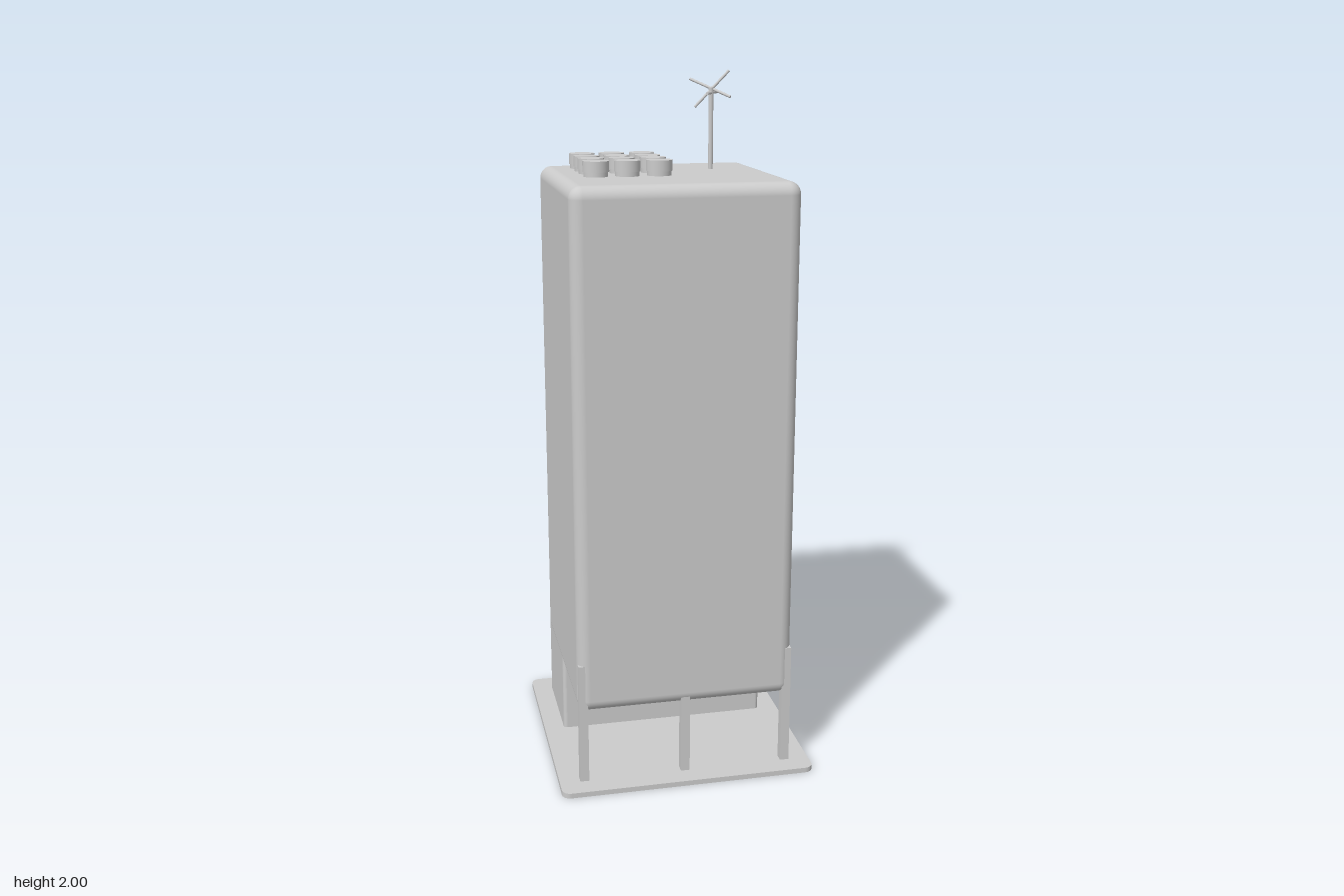
import * as THREE from 'three';
import { RoundedBoxGeometry } from 'three/addons/geometries/RoundedBoxGeometry.js';

const material = new THREE.MeshStandardMaterial({ color: 0xcccccc });

function add(parent, name, geometry, x = 0, y = 0, z = 0) {
  const mesh = new THREE.Mesh(geometry, material);
  mesh.name = name;
  mesh.position.set(x, y, z);
  parent.add(mesh);
  return mesh;
}

// Upright slab with rounded vertical corners, standing on y = 0
function roundedSlab(w, d, h, r) {
  const a = w / 2, b = d / 2;
  const s = new THREE.Shape();
  s.moveTo(-a + r, -b);
  s.lineTo(a - r, -b);
  s.absarc(a - r, -b + r, r, -Math.PI / 2, 0);
  s.absarc(a - r, b - r, r, 0, Math.PI / 2);
  s.absarc(-a + r, b - r, r, Math.PI / 2, Math.PI);
  s.absarc(-a + r, -b + r, r, Math.PI, Math.PI * 1.5);
  return new THREE.ExtrudeGeometry(s, { depth: h, bevelEnabled: false, curveSegments: 6 }).rotateX(-Math.PI / 2);
}

// Thin round bar between two points
function rod(parent, name, from, to, radius) {
  const a = new THREE.Vector3(...from), b = new THREE.Vector3(...to);
  const dir = b.clone().sub(a);
  const mesh = add(parent, name, new THREE.CylinderGeometry(radius, radius, dir.length(), 12));
  mesh.position.copy(a).add(b).multiplyScalar(0.5);
  mesh.quaternion.setFromUnitVectors(new THREE.Vector3(0, 1, 0), dir.normalize());
}

export function createModel() {
  const model = new THREE.Group();
  model.name = 'tower';

  // Ground plate
  add(model, 'basePlate', roundedSlab(0.745, 0.745, 0.015, 0.025));

  // Soft-edged main volume
  add(model, 'towerBody', new RoundedBoxGeometry(0.63, 1.49, 0.63, 6, 0.035), 0, 0.975, 0);

  // Enclosed rear half of the ground floor
  add(model, 'groundFloorBlock', roundedSlab(0.626, 0.293, 0.355, 0.012), 0, 0.015, -0.1665);

  // Front posts, running up into the body
  for (const x of [-0.3, -0.002, 0.3]) {
    add(model, 'frontPost', new THREE.BoxGeometry(0.026, 0.36, 0.026), x, 0.195, 0.299);
  }

  // Rooftop units with a slight lip
  const units = new THREE.Group();
  units.name = 'roofUnits';
  model.add(units);
  for (const x of [-0.203, -0.115, -0.025]) {
    for (const z of [-0.197, -0.109, -0.032, 0.055]) {
      add(units, 'roofUnit', new THREE.CylinderGeometry(0.034, 0.034, 0.04, 32), x, 1.735, z);
      add(units, 'roofUnitCap', new THREE.CylinderGeometry(0.037, 0.037, 0.03, 32), x, 1.748, z);
    }
  }

  // Mast with three crossed bars
  const antenna = new THREE.Group();
  antenna.name = 'antenna';
  model.add(antenna);
  rod(antenna, 'mast', [0.16, 1.71, -0.1], [0.16, 1.95, -0.1], 0.007);
  rod(antenna, 'antennaBar', [0.11, 1.973, -0.153], [0.207, 1.925, -0.06], 0.004);
  rod(antenna, 'antennaBar', [0.204, 1.935, -0.187], [0.137, 1.935, -0.053], 0.004);
  rod(antenna, 'antennaBar', [0.112, 1.896, -0.1], [0.212, 1.997, -0.1], 0.004);

  return model;
}
